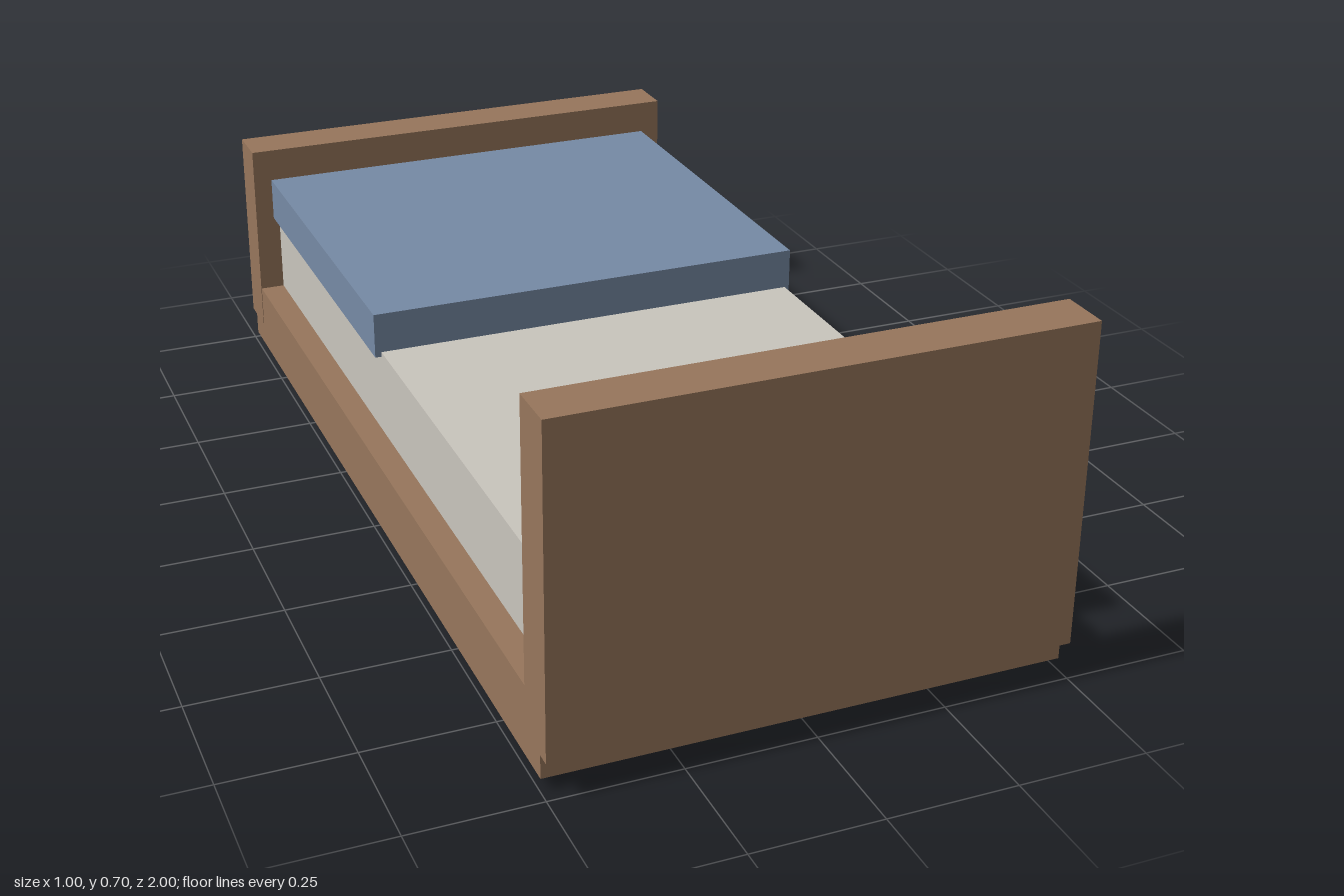
import * as THREE from 'three';

export function createModel() {
  const bed = new THREE.Group();
  bed.name = 'bed';

  const material = (name, color) => {
    const m = new THREE.MeshStandardMaterial({ color });
    m.name = name;
    return m;
  };
  const wood = material('wood', 0x97765c);
  const linen = material('linen', 0xc9c5bd);
  const blue = material('blue blanket', 0x768aa5);

  // Box given by its extents along each axis
  const box = (name, mat, [x0, x1], [y0, y1], [z0, z1]) => {
    const mesh = new THREE.Mesh(new THREE.BoxGeometry(x1 - x0, y1 - y0, z1 - z0), mat);
    mesh.position.set((x0 + x1) / 2, (y0 + y1) / 2, (z0 + z1) / 2);
    mesh.name = name;
    bed.add(mesh);
  };

  // Wooden base and end boards
  box('frame', wood, [-0.499, 0.499], [0.025, 0.165], [-0.97, 0.97]);
  box('headboard', wood, [-0.5, 0.5], [0.074, 0.705], [0.9, 1]);
  box('footboard', wood, [-0.5, 0.5], [0.074, 0.5], [-1, -0.9]);

  // Four low feet
  for (const sx of [-1, 1]) {
    for (const sz of [-1, 1]) {
      const x = sx * 0.43, z = sz * 0.837;
      box('foot', wood, [x - 0.051, x + 0.051], [0, 0.03], [z - 0.051, z + 0.051]);
    }
  }

  // Bedding
  box('mattress', linen, [-0.447, 0.447], [0.16, 0.346], [-0.905, 0.815]);
  box('pillow', linen, [-0.296, 0.293], [0.34, 0.465], [0.452, 0.776]);
  box('blanket', blue, [-0.46, 0.457], [0.336, 0.429], [-0.905, -0.078]);

  return bed;
}
